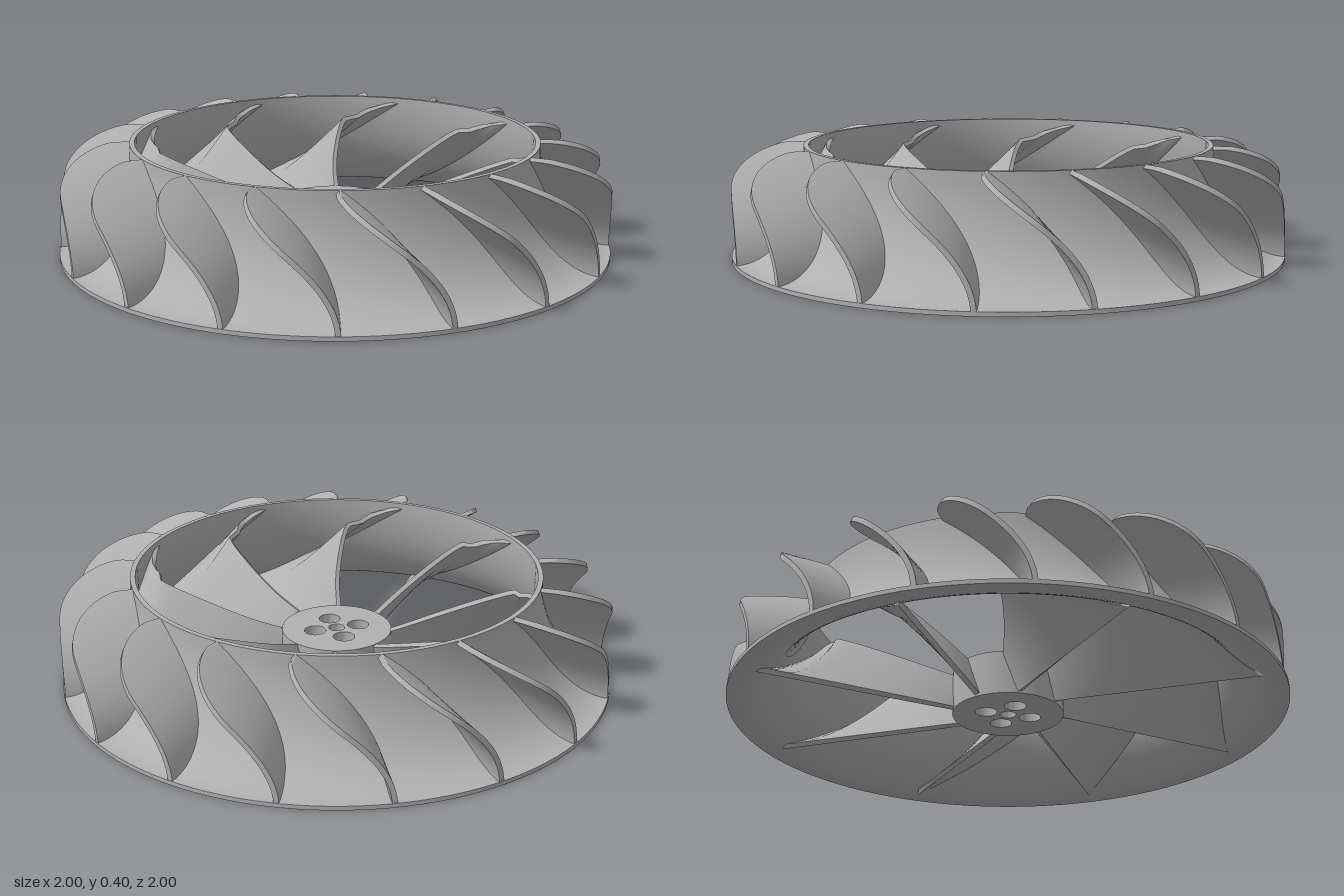
import * as THREE from 'three';
import { mergeGeometries, toCreasedNormals } from 'three/addons/utils/BufferGeometryUtils.js';
import { ParametricGeometry } from 'three/addons/geometries/ParametricGeometry.js';

const HEIGHT = 0.4;
const rad = THREE.MathUtils.degToRad;
const lerp = THREE.MathUtils.lerp;
const clamp = THREE.MathUtils.clamp;

// Point from radius, height and angle (degrees clockwise from the back, seen from above)
const polar = (r, y, deg) =>
  new THREE.Vector3(r * Math.sin(rad(deg)), y, -r * Math.cos(rad(deg)));

// Flared shroud radii: quarter-ellipse sections
const flare = (y, a, b) =>
  1 - a * Math.sqrt(Math.max(0, 1 - ((HEIGHT - y) / b) ** 2));
const shroudOuter = (y) => flare(y, 0.262, 0.385);
const shroudInner = (y) => flare(y, 0.28, 0.41);

// Closed plate of even thickness around a curved surface f(u, v)
function plate(f, nu, nv, thickness) {
  const e = 0.002;
  const solid = (u, v, w, target) => {
    const u0 = clamp(u, e, 1 - e), v0 = clamp(v, e, 1 - e);
    const du = f(u0 + e, v0).sub(f(u0 - e, v0));
    const dv = f(u0, v0 + e).sub(f(u0, v0 - e));
    const n = du.cross(dv).normalize();
    target.copy(f(u, v)).addScaledVector(n, (w - 0.5) * thickness);
    target.y = clamp(target.y, 0, HEIGHT);
  };
  const faces = [
    [(a, b, t) => solid(a, b, 1, t), nu, nv],
    [(a, b, t) => solid(b, a, 0, t), nv, nu],
    [(a, b, t) => solid(1, a, b, t), nv, 1],
    [(a, b, t) => solid(0, b, a, t), 1, nv],
    [(a, b, t) => solid(b, 1, a, t), 1, nu],
    [(a, b, t) => solid(b, 0, a, t).valueOf, nu, 1],
  ];
  // lower edge, wound the other way
  faces[5] = [(a, b, t) => solid(a, 0, b, t), nu, 1];
  return mergeGeometries(faces.map(([fn, s, k]) => new ParametricGeometry(fn, s, k)));
}

// Outer vane: u runs root to tip, v runs bottom to top
function outerVane(u, v) {
  const y = lerp(0.008, 0.396, Math.sin((v * Math.PI) / 2));
  const k = Math.max(0, (y - 0.25) / 0.15);
  const tip = y < 0.25 ? 0.998 - 0.012 * y : 0.72 + 0.275 * Math.sqrt(1 - k * k);
  const root = Math.min(shroudOuter(Math.max(y, 0.02)) - 0.008, tip - 0.01);
  return polar(lerp(root, tip, u), y, 8 + 21.5 * (y / HEIGHT) ** 2);
}

// Leading edge of a fan blade: angle and height along the span
const leading = new THREE.CatmullRomCurve3(
  [
    [0, 66, 0.15], [0.27, 64, 0.2], [0.645, 65.8, 0.28], [0.87, 72, 0.33], [1, 85, 0.385],
  ].map((p) => new THREE.Vector3(...p)), false, 'chordal');
const leadSamples = leading.getPoints(160);
function leadAt(s) {
  let i = 1;
  while (i < leadSamples.length - 1 && leadSamples[i].x < s) i++;
  const a = leadSamples[i - 1], b = leadSamples[i];
  return a.clone().lerp(b, clamp((s - a.x) / (b.x - a.x), 0, 1));
}

// Fan blade: u runs hub to shroud, v runs from the straight lower edge to the leading edge
function fanBlade(u, v) {
  const lead = leadAt(u);
  const rEnd = shroudInner(lerp(0.008, 0.385, v)) + 0.006;
  const r = lerp(0.185, rEnd, u);
  const trailing = 36 + THREE.MathUtils.radToDeg(Math.asin(0.05 / r));
  return polar(r, lerp(0.008, lead.z, v), lerp(trailing, lead.y, v));
}

export function createModel() {
  const model = new THREE.Group();
  model.name = 'impeller';
  const metal = new THREE.MeshStandardMaterial({ color: 0xb0b0b0 });
  metal.name = 'grey metal';

  const add = (name, geometry, parent = model) => {
    const mesh = new THREE.Mesh(geometry, metal);
    mesh.name = name;
    parent.add(mesh);
    return mesh;
  };

  // Thin flared shroud with a flat rim
  const steps = 24;
  const profile = [new THREE.Vector2(1, 0)];
  for (let i = 0; i <= steps; i++) {
    const y = lerp(0.015, HEIGHT, (i / steps) ** 2);
    profile.push(new THREE.Vector2(shroudOuter(y), y));
  }
  for (let i = steps; i >= 0; i--) {
    const y = HEIGHT * (i / steps) ** 1.5;
    profile.push(new THREE.Vector2(shroudInner(y), y));
  }
  profile.push(new THREE.Vector2(1, 0));
  add('shroud', toCreasedNormals(new THREE.LatheGeometry(profile, 128), 0.6));

  // Hub with a centre bore and four bolt holes
  const disc = new THREE.Shape().absarc(0, 0, 0.2, 0, Math.PI * 2, false);
  const hole = (x, y, r) =>
    disc.holes.push(new THREE.Path().absarc(x, y, r, 0, Math.PI * 2, true));
  hole(0, 0, 0.029);
  for (let i = 0; i < 4; i++) {
    const a = (i * Math.PI) / 2;
    hole(0.083 * Math.cos(a), 0.083 * Math.sin(a), 0.039);
  }
  const hub = new THREE.ExtrudeGeometry(disc, { depth: 0.16, bevelEnabled: false, curveSegments: 40 });
  hub.rotateX(-Math.PI / 2);
  add('hub', toCreasedNormals(hub, 0.6));

  // Repeated blades share one geometry each
  const ring = (name, part, geometry, count) => {
    const group = new THREE.Group();
    group.name = name;
    for (let i = 0; i < count; i++) {
      add(part, geometry, group).rotation.y = (-i * Math.PI * 2) / count;
    }
    model.add(group);
  };
  ring('outerVanes', 'outerVane', plate(outerVane, 8, 28, 0.018), 17);
  ring('fanBlades', 'fanBlade', plate(fanBlade, 32, 14, 0.018), 8);

  return model;
}
